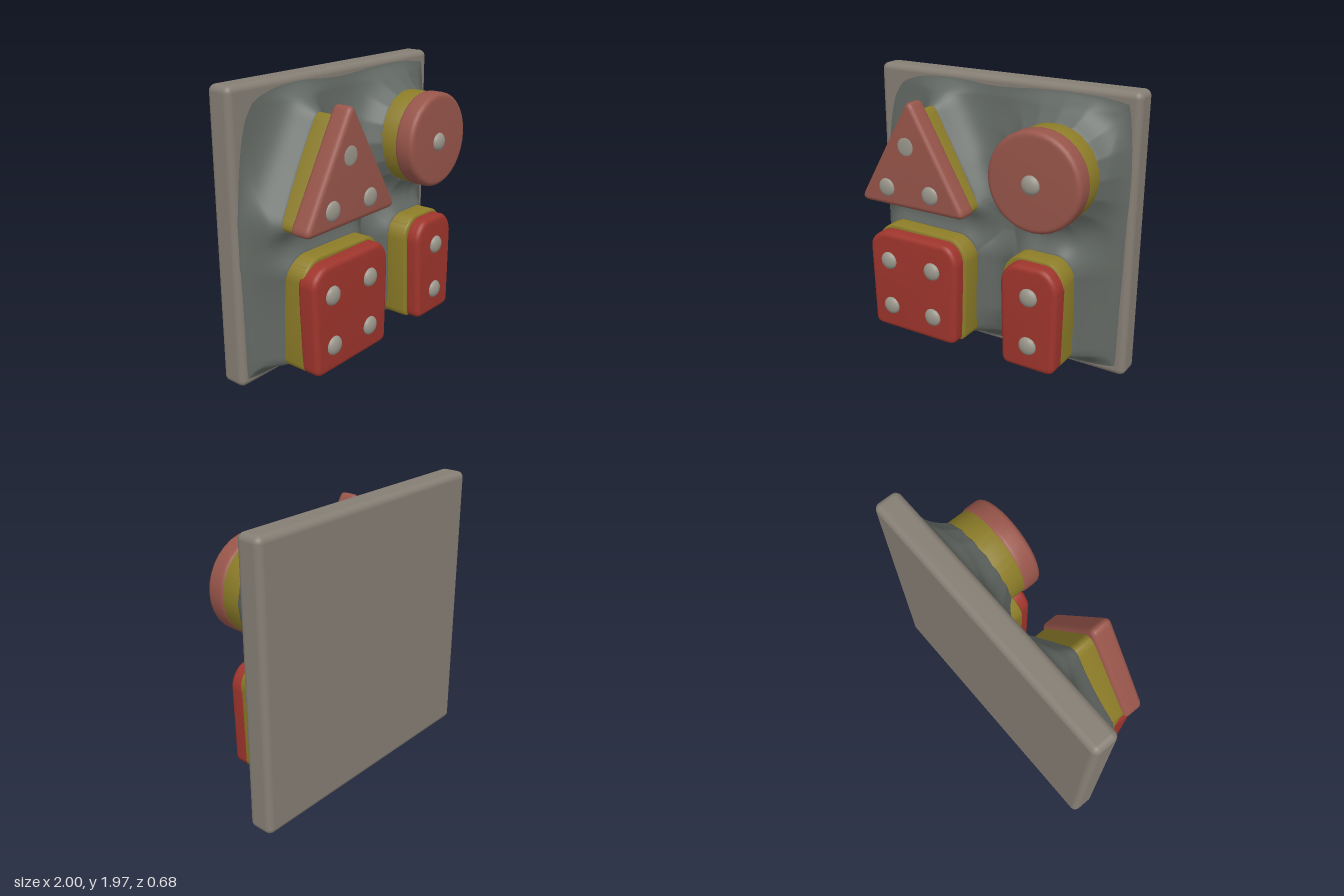
import * as THREE from 'three';
import { toCreasedNormals } from 'three/addons/utils/BufferGeometryUtils.js';
import { RoundedBoxGeometry } from 'three/addons/geometries/RoundedBoxGeometry.js';

const mat = (color) => new THREE.MeshStandardMaterial({ color });

// Closed outline with rounded corners; corners run counter-clockwise
function roundedShape(corners, r) {
  const pts = corners.map(([x, y]) => new THREE.Vector2(x, y));
  const shape = new THREE.Shape();
  const n = pts.length;
  pts.forEach((p, i) => {
    const toward = (q) => q.clone().sub(p).setLength(r).add(p);
    const a = toward(pts[(i + n - 1) % n]);
    const b = toward(pts[(i + 1) % n]);
    if (i === 0) shape.moveTo(a.x, a.y);
    else shape.lineTo(a.x, a.y);
    shape.quadraticCurveTo(p.x, p.y, b.x, b.y);
  });
  shape.closePath();
  return shape;
}

function circleShape(x, y, r) {
  const shape = new THREE.Shape();
  shape.absarc(x, y, r, 0, Math.PI * 2, false);
  return shape;
}

// Distance from a point to a polygon, zero inside
function outsideDistance(poly, x, y) {
  let d = Infinity, inside = false;
  for (let i = 0, j = poly.length - 1; i < poly.length; j = i++) {
    const a = poly[j], b = poly[i];
    const ex = b.x - a.x, ey = b.y - a.y;
    const len = ex * ex + ey * ey || 1e-9;
    const t = THREE.MathUtils.clamp(((x - a.x) * ex + (y - a.y) * ey) / len, 0, 1);
    d = Math.min(d, Math.hypot(x - a.x - ex * t, y - a.y - ey * t));
    if ((a.y > y) !== (b.y > y) && x < a.x + ((y - a.y) / ey) * ex) inside = !inside;
  }
  return inside ? 0 : d;
}

// Bevelled slab of a shape between two depths
function slab(shape, z0, z1, bevel) {
  const geo = new THREE.ExtrudeGeometry(shape, {
    depth: z1 - z0 - 2 * bevel, curveSegments: 16,
    bevelSize: bevel, bevelThickness: bevel, bevelOffset: -bevel, bevelSegments: 5,
  });
  geo.translate(0, 0, z0 + bevel);
  return toCreasedNormals(geo, 0.75);
}

export function createModel() {
  const group = new THREE.Group();
  const add = (name, geo, material, parent = group) => {
    const mesh = new THREE.Mesh(geo, material);
    mesh.name = name;
    parent.add(mesh);
    return mesh;
  };

  const boardMat = mat(0x857e74), reliefMat = mat(0x626863);
  const yellowMat = mat(0x8c7c28), redMat = mat(0x9e352c), fadedRedMat = mat(0x97554a);
  const studMat = mat(0x99958a);

  // Each block: red front outline, yellow back outline, studs as [x, y, height]
  const blocks = [
    { name: 'triangleBlock', red: fadedRedMat,
      front: roundedShape([[-0.87, 1.09], [0.02, 1.09], [-0.425, 1.86]], 0.08),
      back: roundedShape([[-0.85, 1.08], [0, 1.08], [-0.425, 1.8]], 0.1),
      studs: [[-0.62, 1.22, 0.025], [-0.26, 1.22, 0.025], [-0.45, 1.53, 0.008]] },
    { name: 'roundBlock', red: fadedRedMat,
      front: circleShape(0.51, 1.44, 0.33), back: circleShape(0.51, 1.44, 0.322),
      studs: [[0.5, 1.43, 0.035]] },
    { name: 'squareBlock', red: redMat,
      front: roundedShape([[-0.78, 0.14], [-0.08, 0.14], [-0.06, 0.78], [-0.13, 0.88],
        [-0.7, 0.88], [-0.8, 0.8]], 0.06),
      back: roundedShape([[-0.78, 0.14], [-0.06, 0.14], [-0.04, 0.8], [-0.12, 0.9],
        [-0.69, 0.91], [-0.79, 0.82]], 0.06),
      studs: [[-0.63, 0.67, 0.035], [-0.26, 0.67, 0.035], [-0.62, 0.32, 0.035], [-0.26, 0.32, 0.035]] },
    { name: 'narrowBlock', red: redMat,
      front: roundedShape([[0.3, 0.14], [0.69, 0.14], [0.7, 0.78], [0.62, 0.88],
        [0.36, 0.88], [0.28, 0.78]], 0.06),
      back: roundedShape([[0.27, 0.14], [0.69, 0.14], [0.7, 0.8], [0.62, 0.9],
        [0.34, 0.9], [0.25, 0.8]], 0.06),
      studs: [[0.5, 0.67, 0.035], [0.5, 0.32, 0.035]] },
  ];

  // Backing board
  const board = new RoundedBoxGeometry(2, 1.97, 0.185, 4, 0.045);
  board.translate(0, 0.985, -0.2425);
  add('backingBoard', board, boardMat);

  // Flowing relief: ramps up to every block and fills the valleys between neighbours
  const outlines = blocks.map((b) => b.back.getPoints(8));
  const relief = new THREE.PlaneGeometry(1.94, 1.91, 200, 200);
  relief.translate(0, 0.985, 0);
  const pos = relief.attributes.position;
  const { smoothstep } = THREE.MathUtils;
  for (let i = 0; i < pos.count; i++) {
    const x = pos.getX(i), y = pos.getY(i);
    const d = outlines.map((poly) => outsideDistance(poly, x, y)).sort((a, b) => a - b);
    const ramps = d.reduce((sum, v) => sum + 0.23 * Math.exp(-v / 0.085), 0);
    const valley = 0.36 * Math.exp(-(d[0] + d[1]) / 0.2) * smoothstep(y, 0.08, 0.35);
    const edge = Math.min(0.97 - Math.abs(x), 0.955 - Math.abs(y - 0.985));
    const rise = 0.27 * Math.tanh((ramps + valley) / 0.27);
    pos.setZ(i, -0.154 + rise * smoothstep(edge, -0.01, 0.11));
  }
  relief.computeVertexNormals();
  add('moldedRelief', relief, reliefMat);

  // Blocks: yellow layer, red front layer and domed studs
  for (const b of blocks) {
    const block = new THREE.Group();
    block.name = b.name;
    group.add(block);
    add('yellowLayer', slab(b.back, -0.05, 0.215, 0.015), yellowMat, block);
    add('redLayer', slab(b.front, 0.16, 0.31, 0.035), b.red, block);
    for (const [x, y, height] of b.studs) {
      const dome = new THREE.SphereGeometry(0.065, 24, 8, 0, Math.PI * 2, 0, Math.PI / 2);
      dome.rotateX(Math.PI / 2);
      const stud = add('stud', dome, studMat, block);
      stud.position.set(x, y, 0.308);
      stud.scale.z = height / 0.065;
    }
  }
  return group;
}
